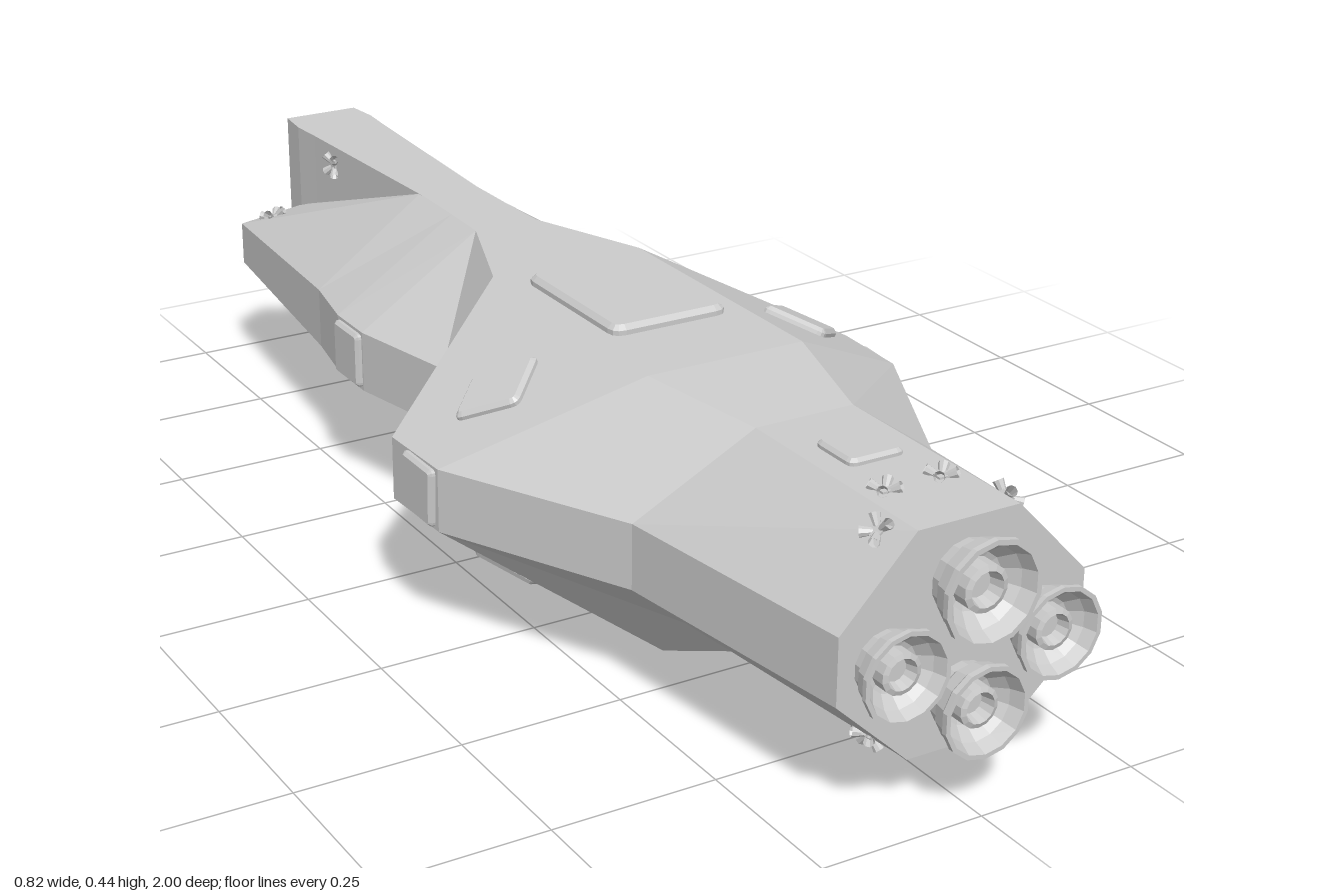
import * as THREE from 'three';

const material = new THREE.MeshStandardMaterial({ color: 0xcccccc, flatShading: true });
const thinMaterial = new THREE.MeshStandardMaterial({ color: 0xcccccc, flatShading: true, side: THREE.DoubleSide });
const UP = new THREE.Vector3(0, 1, 0);

function mesh(name, geometry, mat = material) {
  const m = new THREE.Mesh(geometry, mat);
  m.name = name;
  return m;
}

// Faceted skin over rings that run from front to back, each counter-clockwise seen from +z
function loft(rings, flips = []) {
  const out = [];
  const n = rings[0].length;
  const tri = (...pts) => pts.forEach((p) => out.push(...p));
  for (let i = 0; i < rings.length - 1; i++) {
    for (let j = 0; j < n; j++) {
      const k = (j + 1) % n;
      const p = rings[i][j], q = rings[i][k], s = rings[i + 1][j], r = rings[i + 1][k];
      const split = (j % 4 === 0) === !flips[i];
      if (split) { tri(p, s, q); tri(q, s, r); } else { tri(p, s, r); tri(p, r, q); }
    }
  }
  const a = rings[0], b = rings[rings.length - 1];
  for (let j = 1; j < n - 1; j++) {
    tri(a[0], a[j], a[j + 1]);
    tri(b[0], b[j + 1], b[j]);
  }
  const g = new THREE.BufferGeometry();
  g.setAttribute('position', new THREE.Float32BufferAttribute(out, 3));
  g.computeVertexNormals();
  return g;
}

// Eight-sided hull: top edge, side band and bottom edge each have their own z
function hullGeometry() {
  // top z, half width, y | side z, half width, upper y, lower y | bottom z, half width, y | flip diagonals
  const sections = [
    [0.94, 0.08, 0.405, 0.94, 0.195, 0.285, 0.185, 0.94, 0.08, 0.077, 0],
    [0.57, 0.08, 0.405, 0.53, 0.25, 0.285, 0.185, 0.6, 0.08, 0.077, 0],
    [0.37, 0.13, 0.42, 0.235, 0.395, 0.283, 0.185, 0.43, 0.137, 0.015, 0],
    [0.1, 0.13, 0.42, 0.1, 0.4, 0.283, 0.185, 0.08, 0.137, 0.015, 1],
    [-0.09, 0.13, 0.42, -0.09, 0.22, 0.285, 0.185, -0.15, 0.12, 0.07, 1],
    [-0.29, 0.055, 0.42, -0.29, 0.262, 0.285, 0.185, -0.3, 0.06, 0.07, 0],
    [-0.38, 0.052, 0.42, -0.38, 0.262, 0.285, 0.185, -0.38, 0.055, 0.07, 0],
    [-0.5, 0.05, 0.42, -0.5, 0.24, 0.285, 0.185, -0.5, 0.05, 0.07, 0],
    [-0.91, 0.09, 0.285, -0.915, 0.2, 0.268, 0.195, -0.91, 0.09, 0.18, 0],
  ];
  const rings = sections.map(([zt, a, t, zs, w, u, l, zb, b, y]) => [
    [w, u, zs], [a, t, zt], [-a, t, zt], [-w, u, zs],
    [-w, l, zs], [-b, y, zb], [b, y, zb], [w, l, zs],
  ]);
  return loft(rings, sections.map((s) => s[10]));
}

// Upright tail: z, half width, bottom y
function tailGeometry() {
  const sections = [[-0.48, 0.05, 0.07], [-0.88, 0.068, 0.123], [-0.94, 0.072, 0.131], [-1, 0.066, 0.14]];
  return loft(sections.map(([z, w, b]) => [[w, 0.42, z], [-w, 0.42, z], [-w, b, z], [w, b, z]]));
}

// Rounded plate with sloping edges, lying on y = 0
function plateGeometry(w, d, h, r) {
  const s = new THREE.Shape();
  const x = w / 2, y = d / 2;
  s.moveTo(-x + r, -y);
  s.lineTo(x - r, -y); s.quadraticCurveTo(x, -y, x, -y + r);
  s.lineTo(x, y - r); s.quadraticCurveTo(x, y, x - r, y);
  s.lineTo(-x + r, y); s.quadraticCurveTo(-x, y, -x, y - r);
  s.lineTo(-x, -y + r); s.quadraticCurveTo(-x, -y, -x + r, -y);
  return new THREE.ExtrudeGeometry(s, {
    depth: h, bevelThickness: h / 2, bevelSize: h / 2, bevelOffset: -h / 2, bevelSegments: 1, curveSegments: 3,
  }).translate(0, 0, -h / 2).rotateX(-Math.PI / 2);
}

// Engine bell opening toward +z, with a hollow hub inside
function bell(name, radius, length) {
  const profile = [
    [0.72, 0], [0.74, 0.25], [0.86, 0.4], [0.92, 0.75], [1, 0.85], [1, 1], [0.9, 1],
    [0.78, 0.65], [0.55, 0.3], [0.45, 0.25], [0.45, 0.7], [0.34, 0.75], [0.26, 0.4], [0, 0.4],
  ].map(([r, z]) => new THREE.Vector2(r * radius, z * length));
  return mesh(name, new THREE.LatheGeometry(profile, 14).rotateX(Math.PI / 2), thinMaterial);
}

// Cluster of four small jets set in a cross
function jetCluster() {
  const g = new THREE.Group();
  g.name = 'thrusterCluster';
  for (let i = 0; i < 4; i++) {
    const a = Math.PI / 4 + (i * Math.PI) / 2;
    const jet = mesh('thrusterJet', new THREE.CylinderGeometry(0.008, 0.005, 0.018, 8, 1, true), thinMaterial);
    jet.position.set(Math.cos(a) * 0.014, 0.003, Math.sin(a) * 0.014);
    jet.quaternion.setFromUnitVectors(UP, new THREE.Vector3(Math.cos(a), 0.5, Math.sin(a)).normalize());
    g.add(jet);
  }
  const base = mesh('thrusterBase', new THREE.BoxGeometry(0.022, 0.006, 0.022));
  g.add(base);
  return g;
}

export function createModel() {
  const model = new THREE.Group();
  model.name = 'spaceship';
  const hull = mesh('hull', hullGeometry());
  const tail = mesh('tail', tailGeometry());
  model.add(hull, tail);

  // Sets a part on the skin where a ray from outside meets it
  const ray = new THREE.Raycaster();
  function mount(part, origin, direction) {
    ray.set(new THREE.Vector3(...origin), new THREE.Vector3(...direction));
    const hit = ray.intersectObjects([hull, tail], false)[0];
    if (!hit) return;
    part.position.copy(hit.point);
    part.quaternion.setFromUnitVectors(UP, hit.face.normal);
    model.add(part);
  }
  const above = (part, x, z) => mount(part, [x, 2, z], [0, -1, 0]);
  const below = (part, x, z) => mount(part, [x, -2, z], [0, 1, 0]);

  // Main engines
  for (const [x, y, r, len] of [[0, 0.322, 0.076, 0.06], [0, 0.152, 0.067, 0.06], [0.121, 0.23, 0.067, 0.05], [-0.121, 0.23, 0.067, 0.05]]) {
    const engine = bell('mainEngine', r, len);
    engine.position.set(x, y, 0.94);
    model.add(engine);
  }

  // Centre hatches
  above(mesh('topHatch', plateGeometry(0.195, 0.265, 0.015, 0.02)), 0, 0.09);
  above(mesh('frontHatch', plateGeometry(0.088, 0.085, 0.01, 0.012)), 0, 0.7);
  below(mesh('bottomHatch', plateGeometry(0.195, 0.26, 0.015, 0.02)), 0, 0.28);

  for (const side of [1, -1]) {
    // Diamond hatches on the sloping flanks
    const diamond = () => mesh('diamondHatch', plateGeometry(0.1, 0.1, 0.012, 0.012).rotateY(Math.PI / 4).scale(1.1, 1, 0.92));
    above(diamond(), side * 0.262, 0.17);
    below(diamond(), side * 0.262, 0.215);

    // Side hatches
    for (const z of [0.185, -0.335]) {
      mount(mesh('sideHatch', plateGeometry(0.09, 0.085, 0.01, 0.008)), [side * 2, 0.235, z], [-side, 0, 0]);
    }

    // Rear pod jets
    const podJet = bell('podEngine', 0.033, 0.035);
    podJet.rotation.y = Math.PI;
    podJet.position.set(side * 0.135, 0.232, -0.91);
    model.add(podJet);

    // Thruster clusters at nose, pods and tail
    for (const [x, z] of [[0.045, 0.82], [0.103, 0.885], [0.158, -0.87]]) {
      above(jetCluster(), side * x, z);
      below(jetCluster(), side * x, z);
    }
    below(jetCluster(), side * 0.075, -0.46);
    mount(jetCluster(), [side * 2, 0.385, -0.81], [-side, 0, 0]);
  }

  // Sensor prongs on the left flank
  const sensor = new THREE.Group();
  sensor.name = 'sensorArray';
  const base = mesh('sensorBase', new THREE.BoxGeometry(0.045, 0.056, 0.06));
  base.position.set(0.295, 0.237, 0.01);
  sensor.add(base);
  for (let i = 0; i < 4; i++) {
    const prong = mesh('sensorProng', new THREE.BoxGeometry(0.024, 0.006, 0.14));
    prong.position.set(0.303, 0.216 + i * 0.014, -0.04);
    sensor.add(prong);
  }
  model.add(sensor);

  // Belly bay behind the bottom hatch
  const bay = mesh('bellyBay', plateGeometry(0.13, 0.13, 0.03, 0.02));
  bay.rotation.x = Math.PI;
  bay.position.set(0, 0.057, -0.09);
  model.add(bay);

  return model;
}
